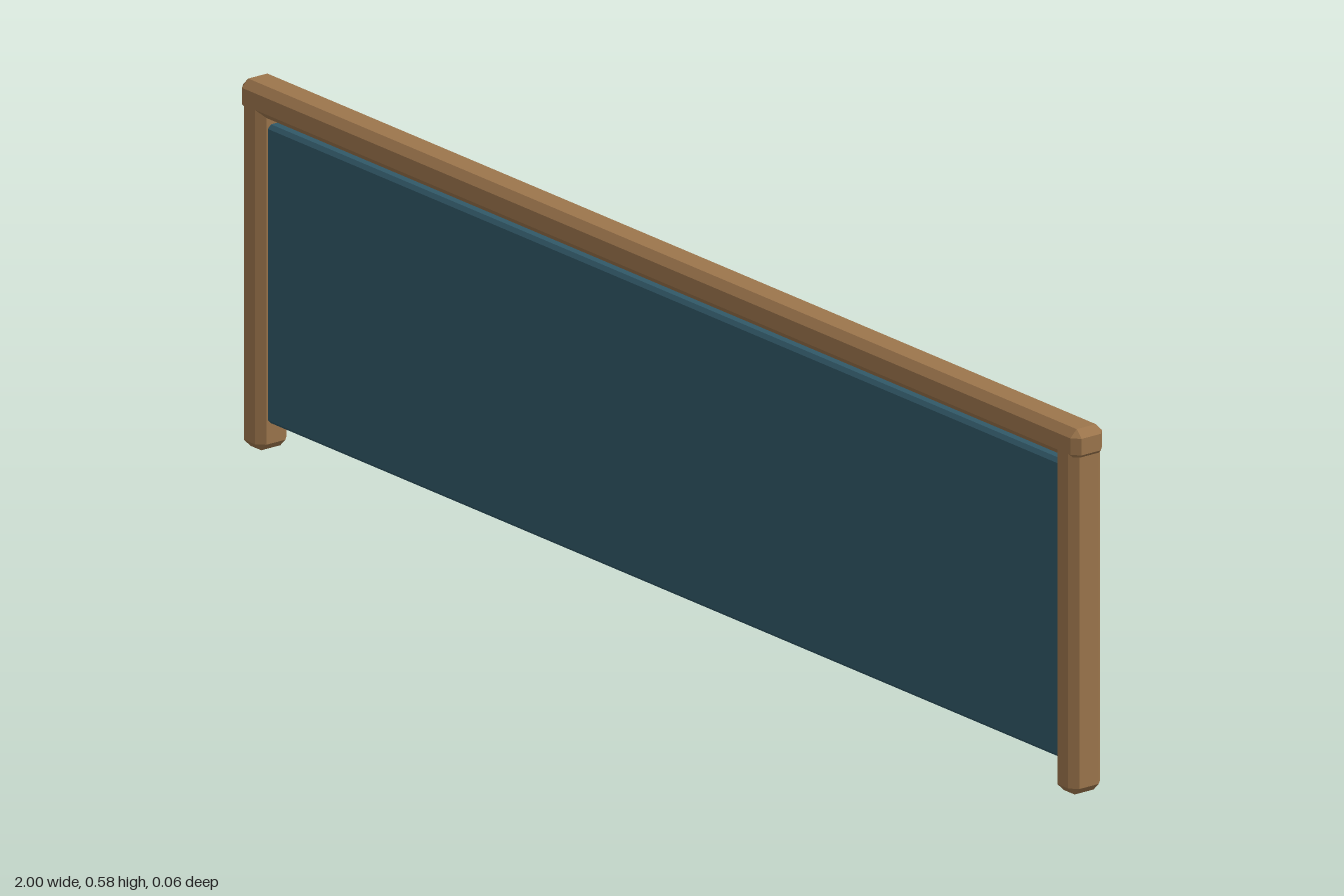
import * as THREE from 'three';
import { ConvexGeometry } from 'three/addons/geometries/ConvexGeometry.js';

const wood = new THREE.MeshStandardMaterial({ color: 0x9c754c });
const cloth = new THREE.MeshStandardMaterial({ color: 0x315867 });

// Box with every edge cut at 45 degrees: each corner becomes three points.
function chamferBox(w, h, d, c) {
  const points = [];
  for (const sx of [-1, 1]) for (const sy of [-1, 1]) for (const sz of [-1, 1]) {
    for (let axis = 0; axis < 3; axis++) {
      const [x, y, z] = [w, h, d].map((size, i) => size / 2 - (i === axis ? 0 : c));
      points.push(new THREE.Vector3(sx * x, sy * y, sz * z));
    }
  }
  return new ConvexGeometry(points);
}

export function createModel() {
  const model = new THREE.Group();
  model.name = 'partitionScreen';

  const add = (name, geometry, material, x, y) => {
    const mesh = new THREE.Mesh(geometry, material);
    mesh.name = name;
    mesh.position.set(x, y, 0);
    model.add(mesh);
  };

  // Upright posts, their tops set into the rail
  const post = chamferBox(0.05, 0.55, 0.06, 0.012);
  add('leftPost', post, wood, 0.97, 0.275);
  add('rightPost', post, wood, -0.97, 0.275);

  // Rail across the top
  add('topRail', chamferBox(2, 0.05, 0.06, 0.012), wood, 0, 0.551);

  // Infill panel between the posts
  add('panel', chamferBox(1.91, 0.47, 0.03, 0.006), cloth, 0, 0.279);

  return model;
}
